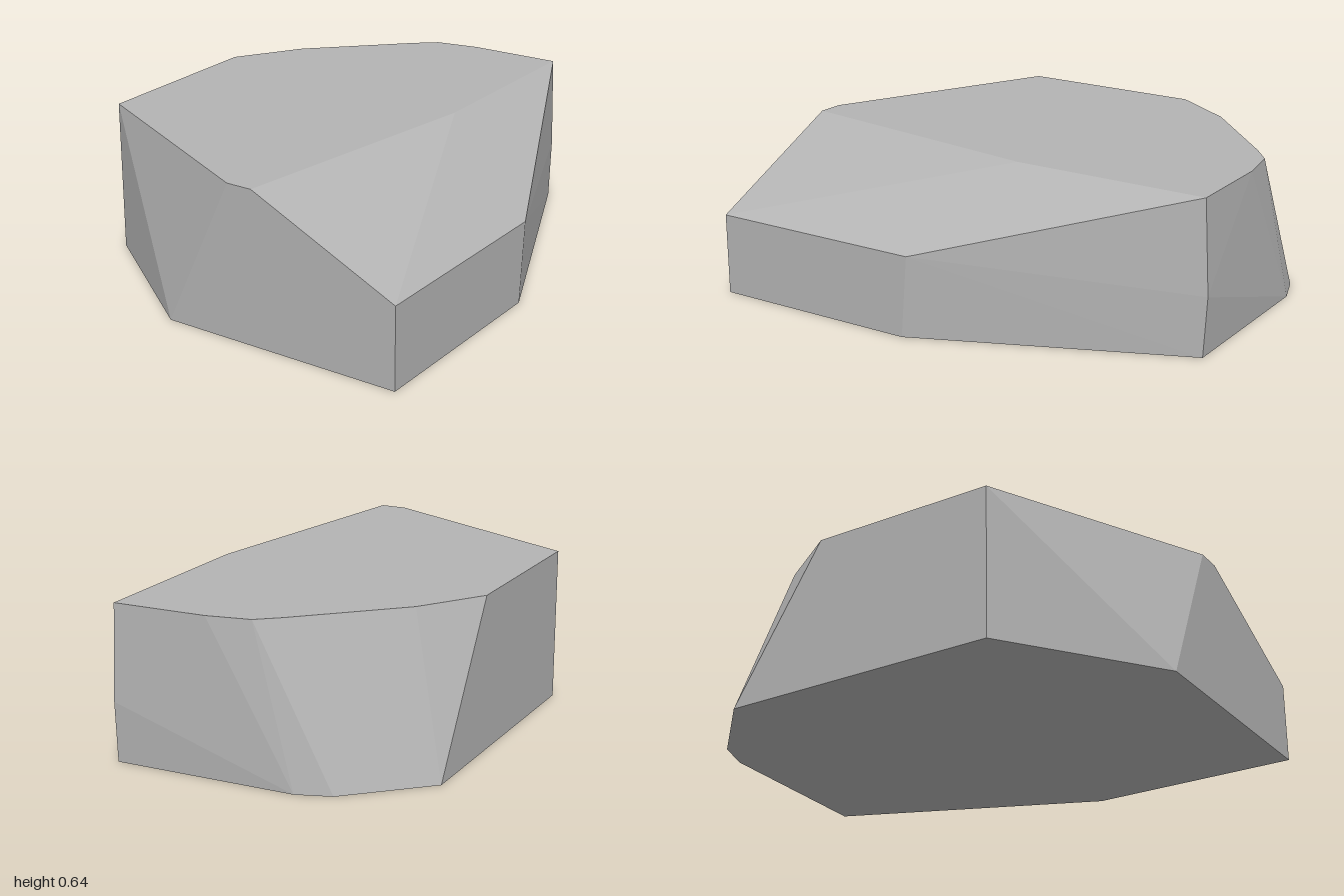
import * as THREE from 'three';
import { ConvexGeometry } from 'three/addons/geometries/ConvexGeometry.js';

export function createModel() {
  const group = new THREE.Group();
  group.name = 'rock';

  const stone = new THREE.MeshStandardMaterial({ color: 0xb4b4b4 });
  stone.name = 'grey stone';

  // Outlines [x, z] at each height; the rock is the faceted hull around them
  const H = 0.64;
  const rings = [
    // flat base
    [0, [[-0.835, 0.55], [-0.21, 1], [0.835, 1], [0.835, 0.1], [0.375, -0.985],
      [-0.39, -0.97], [-0.53, -0.92], [-0.835, -0.63]]],
    // slight bulge of the back corner
    [0.25, [[0.375, -1]]],
    // lower edge of the chamfered side
    [0.34, [[0.835, 1], [0.835, 0.07]]],
    // flat top
    [H, [[-0.835, 0.55], [0.09, 1], [0.2, 1], [0.375, -0.14], [0.375, -0.98],
      [-0.02, -0.97], [-0.2, -0.935], [-0.29, -0.86], [-0.66, -0.5], [-0.835, -0.23]]],
  ];
  const points = rings.flatMap(([y, ring]) => ring.map(([x, z]) => new THREE.Vector3(x, y, z)));

  const rock = new THREE.Mesh(new ConvexGeometry(points), stone);
  rock.name = 'rockBody';
  group.add(rock);
  return group;
}
